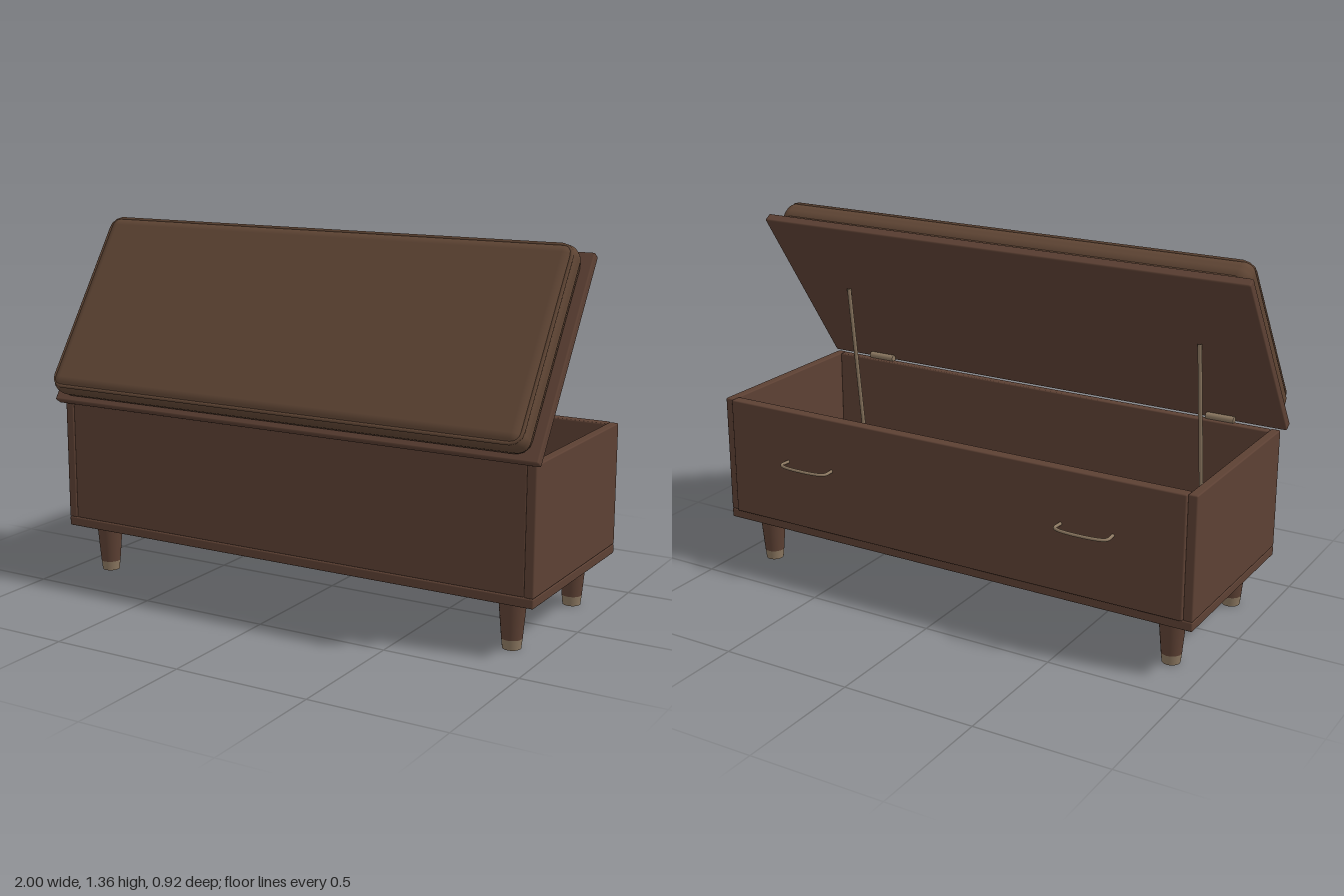
import * as THREE from 'three';
import { RoundedBoxGeometry } from 'three/addons/geometries/RoundedBoxGeometry.js';

const mat = (name, color) => {
  const m = new THREE.MeshStandardMaterial({ color });
  m.name = name;
  return m;
};

export function createModel() {
  const wood = mat('walnut', 0x5c4033);
  const fabric = mat('cushion leather', 0x5f4534);
  const metal = mat('aged brass', 0x8b7760);
  const lining = mat('lining', 0xb5ac9a);

  const bench = new THREE.Group();
  bench.name = 'storageBench';

  const add = (name, geometry, material, parent = bench) => {
    const mesh = new THREE.Mesh(geometry, material);
    mesh.name = name;
    parent.add(mesh);
    return mesh;
  };
  // Softly bevelled board given by its extents
  const board = (name, x0, x1, y0, y1, z0, z1, material = wood, r = 0.005, parent = bench) => {
    const g = new RoundedBoxGeometry(x1 - x0, y1 - y0, z1 - z0, 2, r);
    g.translate((x0 + x1) / 2, (y0 + y1) / 2, (z0 + z1) / 2);
    return add(name, g, material, parent);
  };

  // Chest
  board('basePlate', -0.98, 0.98, 0.185, 0.22, -0.38, 0.355);
  board('frontPanel', -0.945, 0.945, 0.22, 0.675, 0.318, 0.352);
  board('backPanel', -0.945, 0.945, 0.22, 0.675, -0.39, -0.345);
  board('floorLining', -0.93, 0.93, 0.219, 0.228, -0.33, 0.318, lining, 0.002);
  for (const s of [-1, 1]) {
    const c = s * 0.9625;
    board('sidePanel', c - 0.0175, c + 0.0175, 0.22, 0.675, -0.38, 0.355);
  }

  // Tapered legs with metal ferrules
  for (const x of [-0.863, 0.863]) {
    for (const z of [-0.275, 0.255]) {
      add('leg', new THREE.CylinderGeometry(0.05, 0.037, 0.15, 24), wood).position.set(x, 0.111, z);
      add('legFerrule', new THREE.CylinderGeometry(0.037, 0.033, 0.037, 24), metal).position.set(x, 0.0185, z);
    }
  }

  // Tilted lid: local x across, y up the lid, z out of its upper face
  const lid = new THREE.Group();
  lid.name = 'lid';
  lid.position.set(0, 0.672, 0.365);
  lid.rotation.x = -0.6;
  bench.add(lid);
  board('lidBoard', -1, 1, 0, 0.77, 0, 0.035, wood, 0.006, lid);

  // Cushion with a slightly crowned face
  const w = 0.972, y0 = 0.013, y1 = 0.757, yc = (y0 + y1) / 2, h = (y1 - y0) / 2;
  const pad = new THREE.Shape();
  const outline = (shape, hw, hh, r) => {
    shape.moveTo(-hw + r, -hh);
    shape.lineTo(hw - r, -hh);
    shape.absarc(hw - r, -hh + r, r, -Math.PI / 2, 0);
    shape.lineTo(hw, hh - r);
    shape.absarc(hw - r, hh - r, r, 0, Math.PI / 2);
    shape.lineTo(-hw + r, hh);
    shape.absarc(-hw + r, hh - r, r, Math.PI / 2, Math.PI);
    shape.lineTo(-hw, -hh + r);
    shape.absarc(-hw + r, -hh + r, r, Math.PI, Math.PI * 1.5);
    return shape;
  };
  const cushion = new RoundedBoxGeometry(2 * w, 2 * h, 0.104, 6, 0.045);
  cushion.translate(0, yc, 0.085);
  add('cushion', cushion, fabric, lid);
  // Piping along the upper and lower cushion edges
  const loop = outline(pad, w - 0.012, h - 0.012, 0.04).getSpacedPoints(160).slice(0, -1);
  for (const z of [0.122, 0.048]) {
    const path = new THREE.CatmullRomCurve3(loop.map((p) => new THREE.Vector3(p.x, p.y + yc, z)), true);
    add('cushionPiping', new THREE.TubeGeometry(path, 240, 0.007, 8, true), fabric, lid);
  }

  for (const s of [-1, 1]) {
    // Lid stay
    const stay = new THREE.LineCurve3(new THREE.Vector3(s * 0.75, 0.44, 0.194), new THREE.Vector3(s * 0.75, 1.025, 0.122));
    add('lidStay', new THREE.TubeGeometry(stay, 1, 0.008, 10), metal);

    // Hinge barrel
    const hinge = add('hinge', new THREE.CylinderGeometry(0.013, 0.013, 0.11, 16), metal);
    hinge.rotation.z = Math.PI / 2;
    hinge.position.set(s * 0.75, 0.685, 0.343);

    // Bow handle
    const bow = new THREE.CatmullRomCurve3(
      [[-0.1, -0.388], [-0.1, -0.43], [-0.085, -0.442], [-0.04, -0.45], [0, -0.451],
        [0.04, -0.45], [0.085, -0.442], [0.1, -0.43], [0.1, -0.388]]
        .map(([x, z]) => new THREE.Vector3(s * 0.583 + x, 0.475, z)));
    add('handle', new THREE.TubeGeometry(bow, 48, 0.006, 10), metal);
  }
  return bench;
}
